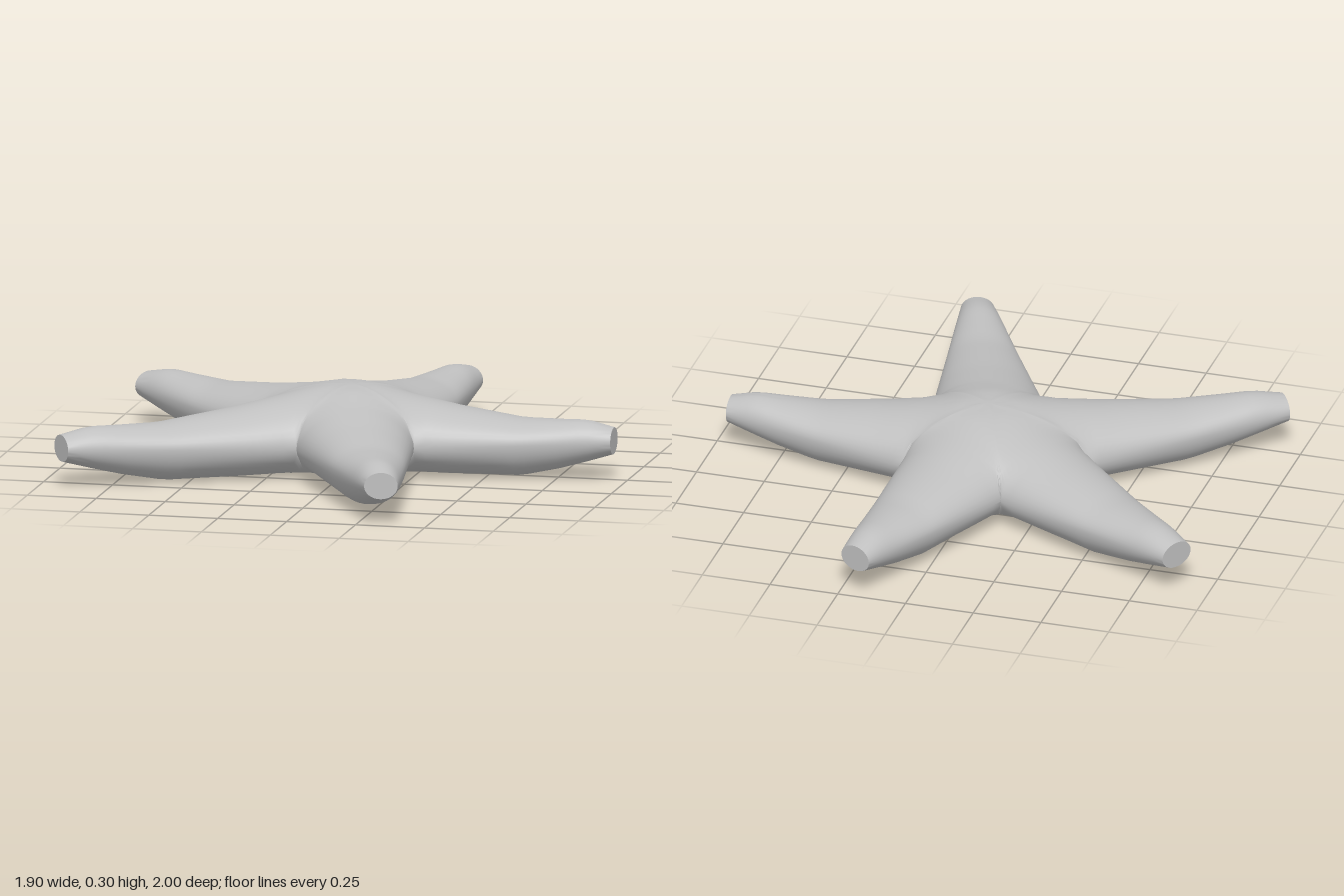
import * as THREE from 'three';
import { mergeVertices, toCreasedNormals } from 'three/addons/utils/BufferGeometryUtils.js';

// Notches between neighbouring arms, as [x, z]
const notches = [[0.25, -0.22], [0.27, 0.19], [-0.13, 0.3], [-0.38, -0.02], [-0.16, -0.37]];
// The two tip corners of each arm; arm k lies between notch k and notch k + 1
const tips = [
  [[0.95, -0.06], [0.95, 0.055]],
  [[0.395, 0.965], [0.28, 0.995]],
  [[-0.88, 0.63], [-0.955, 0.525]],
  [[-0.92, -0.565], [-0.85, -0.675]],
  [[0.135, -1.0], [0.25, -0.955]],
];
const names = ['leftArm', 'frontArm', 'rightFrontArm', 'rightBackArm', 'backArm'];

// Heights along an arm: [fraction of length, top, bottom]
const heights = [
  [0, 0.312, 0.01], [0.1, 0.305, 0.01], [0.22, 0.277, 0.01], [0.4, 0.245, 0.008],
  [0.65, 0.213, 0.01], [0.8, 0.215, 0.042], [0.9, 0.218, 0.07], [1, 0.195, 0.1],
];
const MID = 0.125;
const lerp = THREE.MathUtils.lerp;
const mix = (a, b, t) => [lerp(a[0], b[0], t), lerp(a[1], b[1], t)];

function heightAt(r, column) {
  const i = Math.max(1, heights.findIndex((h) => h[0] >= r));
  const [a, b] = [heights[i - 1], heights[i]];
  return lerp(a[column], b[column], (r - a[0]) / (b[0] - a[0]));
}

function armGeometry(k) {
  const va = notches[k], vb = notches[(k + 1) % 5];
  const [ta, tb] = tips[k];
  const tip = mix(ta, tb, 0.5);
  const length = Math.hypot(...tip);
  const INNER = 9, OUTER = 18, COLS = 20;
  const positions = [];

  // Point on the top (column 1) or bottom (column 2) skin
  function point(i, j, column) {
    const t = -Math.cos((Math.PI * j) / COLS);
    const f = Math.min(i / INNER, 1);
    const s = Math.min(Math.max(0, (i - INNER) / OUTER), 1);
    const a = i <= INNER ? mix([0, 0], va, f) : mix(va, ta, s);
    const b = i <= INNER ? mix([0, 0], vb, f) : mix(vb, tb, s);
    let [x, z] = mix(a, b, (t + 1) / 2);
    const [cx, cz] = mix(a, b, 0.5);
    const r = Math.min(Math.hypot(cx, cz) / length, 1);
    const ridge = heightAt(r, column);
    const mid = lerp(MID, 0.147, s);
    // Shared seams run from the centre down to each notch
    const edge = i < INNER
      ? lerp(mid, heights[0][column], Math.sqrt(1 - f ** (column === 1 ? 2 : 4)))
      : mid;
    const power = lerp(2, 0.5, f * f);
    let y = lerp(edge, ridge, Math.max(0, 1 - t * t) ** power);
    // Blunt end cap closes onto the middle of the tip
    if (i > INNER + OUTER) {
      x = tip[0];
      z = tip[1];
      y = mid;
    }
    return [x, y, z];
  }

  for (const column of [1, 2]) {
    for (let i = 0; i <= INNER + OUTER; i++) {
      for (let j = 0; j < COLS; j++) {
        const p = point(i, j, column), q = point(i, j + 1, column);
        const u = point(i + 1, j, column), v = point(i + 1, j + 1, column);
        const faces = [];
        if (i > 0) faces.push([p, q, u]);
        if (i < INNER + OUTER) faces.push([q, v, u]);
        for (const [m, n, o] of faces) {
          positions.push(...m, ...(column === 1 ? n : o), ...(column === 1 ? o : n));
        }
      }
    }
  }
  return positions;
}

export function createModel() {
  const group = new THREE.Group();
  group.name = 'starfish';
  const skin = new THREE.MeshStandardMaterial({ color: 0xc0c0c0 });
  skin.name = 'grey skin';

  // Arms are shaded as one body so that their seams stay smooth
  const arms = names.map((_, k) => armGeometry(k));
  const whole = new THREE.BufferGeometry();
  whole.setAttribute('position', new THREE.Float32BufferAttribute(arms.flat(), 3));
  const body = toCreasedNormals(mergeVertices(whole, 1e-5), Math.PI / 3.2);

  // Split the shaded body back into its arms
  let start = 0;
  arms.forEach((arm, k) => {
    const geometry = new THREE.BufferGeometry();
    for (const key of ['position', 'normal']) {
      const part = body.attributes[key].array.slice(start, start + arm.length);
      geometry.setAttribute(key, new THREE.BufferAttribute(part, 3));
    }
    start += arm.length;
    const mesh = new THREE.Mesh(geometry, skin);
    mesh.name = names[k];
    group.add(mesh);
  });
  return group;
}
